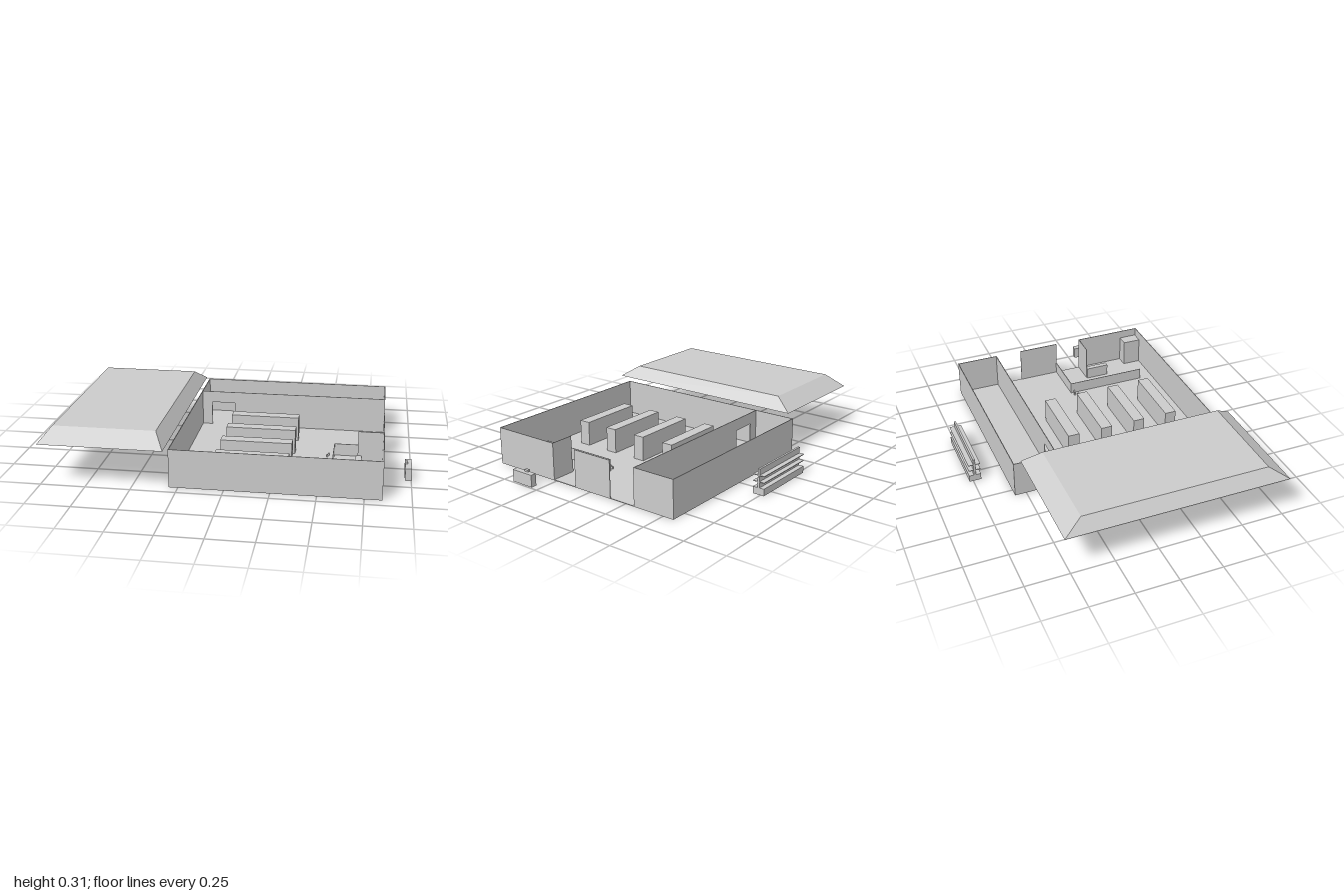
import * as THREE from 'three';

const material = new THREE.MeshStandardMaterial({ color: 0xcccccc, flatShading: true });

// Box given by its extents along each axis
function box(parent, name, [x0, x1], [y0, y1], [z0, z1]) {
  const mesh = new THREE.Mesh(new THREE.BoxGeometry(x1 - x0, y1 - y0, z1 - z0), material);
  mesh.position.set((x0 + x1) / 2, (y0 + y1) / 2, (z0 + z1) / 2);
  mesh.name = name;
  parent.add(mesh);
  return mesh;
}

function group(parent, name) {
  const g = new THREE.Group();
  g.name = name;
  parent.add(g);
  return g;
}

export function createModel() {
  const model = new THREE.Group();
  model.name = 'shop';
  const L = -0.3, R = 0.845, B = -0.567, F = 0.688, H = 0.22, T = 0.004;

  // Floor and outer walls; the side wall leaves an entrance and a rear door
  const building = group(model, 'building');
  box(building, 'floor', [L, R], [0, 0.004], [B, F]);
  box(building, 'frontWall', [L, R], [0, H], [F - T, F]);
  box(building, 'backWall', [L, R], [0, H], [B, B + T]);
  box(building, 'rightWall', [L, L + T], [0, H], [B, F]);
  for (const [z0, z1] of [[B, -0.308], [-0.145, 0.107], [0.267, F]]) {
    box(building, 'leftWall', [R - T, R], [0, H], [z0, z1]);
  }

  // Storeroom partition with a doorway
  const partition = group(building, 'partition');
  const pz = [-0.312, -0.308];
  box(partition, 'partitionWall', [L, -0.235], [0, H], pz);
  box(partition, 'partitionWall', [-0.09, R], [0, H], pz);
  box(partition, 'partitionLintel', [-0.235, -0.09], [0.15, H], pz);

  // Shelf rows
  for (let i = 0; i < 4; i++) {
    const z = -0.122 + i * 0.211;
    box(model, 'shelf', [-0.075, 0.332], [0.004, 0.15], [z - 0.034, z + 0.034]);
  }

  // Low counter walls, entrance screen and what stands behind the counter
  const checkout = group(model, 'checkout');
  box(checkout, 'counterEnd', [0.56, R], [0, 0.075], [0.103, 0.107]);
  box(checkout, 'counterSide', [0.56, 0.563], [0, 0.075], [0.103, 0.6]);
  box(checkout, 'entranceScreen', [0.7, R], [0, H], [0.267, 0.271]);
  box(checkout, 'lowStand', [0.69, 0.722], [0.004, 0.075], [0.271, 0.415]);
  box(checkout, 'tallCabinet', [0.768, 0.84], [0.004, 0.17], [0.572, 0.682]);
  for (const [x, z] of [[0.522, 0.14], [0.531, 0.118], [0.558, 0.125]]) {
    box(checkout, 'smallItem', [x - 0.004, x + 0.004], [0.004, 0.02], [z - 0.005, z + 0.005]);
  }

  // Outdoor box with a small cap
  const outdoor = group(model, 'outdoorBox');
  box(outdoor, 'outdoorBoxBody', [0.965, 1], [0.006, 0.077], [0.285, 0.427]);
  box(outdoor, 'outdoorBoxCap', [0.962, 0.978], [0.06, 0.088], [0.332, 0.358]);

  // Outdoor rack: base, upright panel and two thin shelves
  const rack = group(model, 'outdoorRack');
  const rx = [-0.085, 0.326], rz = [-0.772, -0.702];
  box(rack, 'rackBase', rx, [0, 0.04], rz);
  box(rack, 'rackPanel', rx, [0.04, 0.148], [-0.743, -0.731]);
  for (const y of [0.074, 0.111]) box(rack, 'rackShelf', rx, [y - 0.002, y + 0.002], rz);

  // Hipped roof set down beside the building: a box with its top drawn in
  const roof = box(model, 'roof', [-1, -0.31], [0.24, 0.312], [-0.528, 0.77]);
  const p = roof.geometry.attributes.position;
  for (let i = 0; i < p.count; i++) {
    if (p.getY(i) > 0) {
      p.setX(i, p.getX(i) - Math.sign(p.getX(i)) * 0.058);
      p.setZ(i, p.getZ(i) - Math.sign(p.getZ(i)) * 0.109);
    }
  }
  roof.geometry.computeVertexNormals();

  return model;
}
